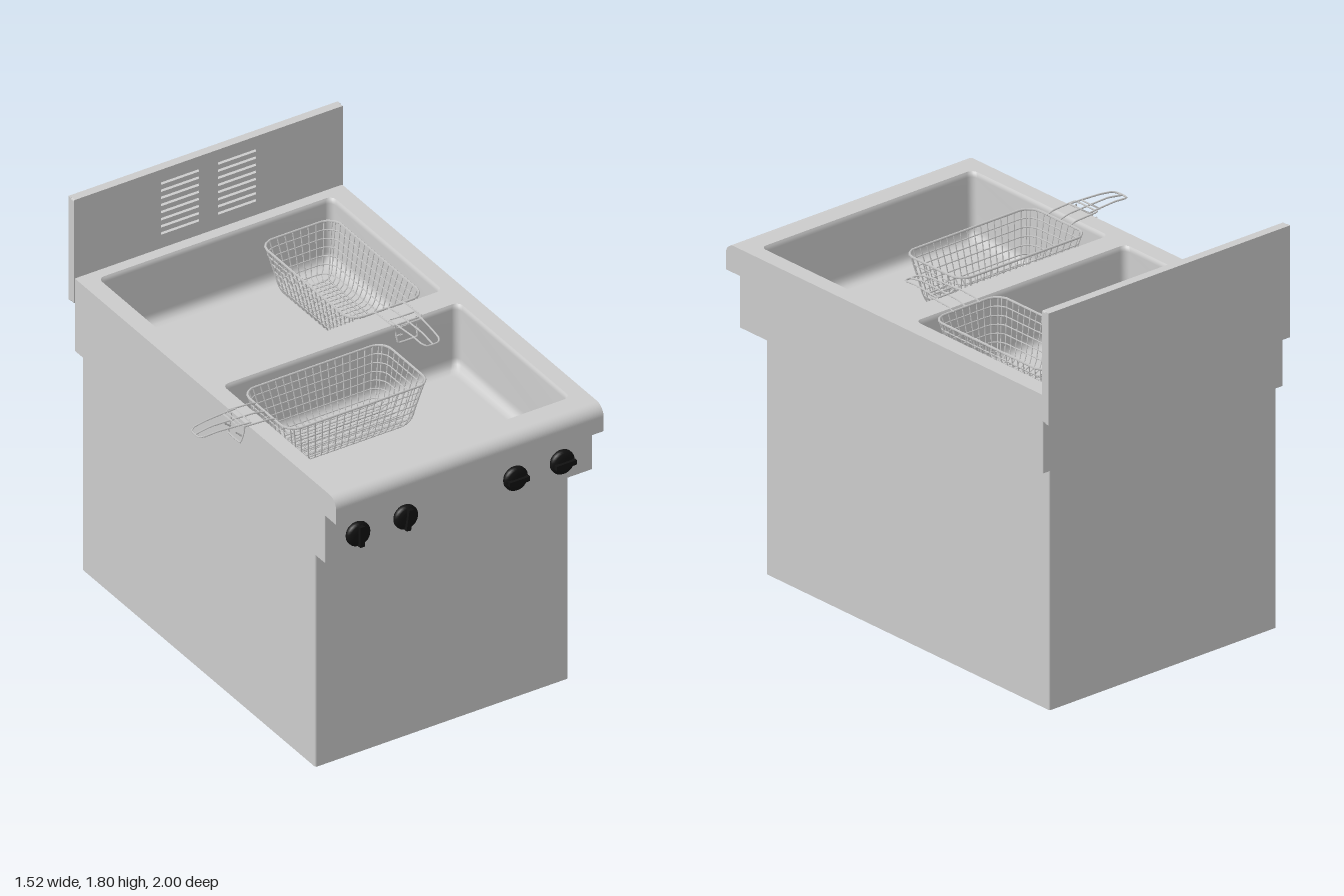
import * as THREE from 'three';
import { mergeGeometries } from 'three/addons/utils/BufferGeometryUtils.js';

const steel = new THREE.MeshStandardMaterial({ color: 0xcccccc });
const steelThin = new THREE.MeshStandardMaterial({ color: 0xcccccc, side: THREE.DoubleSide });
const black = new THREE.MeshStandardMaterial({ color: 0x111111 });
const V = (x, y, z) => new THREE.Vector3(x, y, z);

function add(parent, name, geometry, material = steel) {
  const mesh = new THREE.Mesh(geometry, material);
  mesh.name = name;
  parent.add(mesh);
  return mesh;
}

function box(x0, x1, y0, y1, z0, z1) {
  return new THREE.BoxGeometry(x1 - x0, y1 - y0, z1 - z0)
    .translate((x0 + x1) / 2, (y0 + y1) / 2, (z0 + z1) / 2);
}

// Counter-clockwise outline of a rounded rectangle
function outline(x0, x1, y0, y1, r, n = 5) {
  const pts = [];
  [[x1 - r, y1 - r], [x0 + r, y1 - r], [x0 + r, y0 + r], [x1 - r, y0 + r]].forEach(([cx, cy], q) => {
    for (let i = 0; i <= n; i++) {
      const a = (q + i / n) * Math.PI / 2;
      pts.push(new THREE.Vector2(cx + r * Math.cos(a), cy + r * Math.sin(a)));
    }
  });
  return pts;
}

// Plan outline (x, -z) raised from y0 to y1, with optional holes
function raise(points, holes, y0, y1) {
  const shape = new THREE.Shape(points);
  holes.forEach(h => shape.holes.push(new THREE.Path(h)));
  return new THREE.ExtrudeGeometry(shape, { depth: y1 - y0, bevelEnabled: false })
    .rotateX(-Math.PI / 2).translate(0, y0, 0);
}

// Open tub lofted downwards through rounded rectangles
function basinGeometry([x0, x1, z0, z1]) {
  const sections = [[0, 1.42], [0.004, 1.413], [0.01, 1.4], [0.014, 1.17], [0.02, 1.145], [0.035, 1.13], [0.055, 1.125], [0.065, 1.125]];
  const pos = [], idx = [];
  let n = 0;
  sections.forEach(([d, y]) => {
    const ring = outline(x0 + d, x1 - d, -z1 + d, -z0 - d, 0.03);
    n = ring.length;
    ring.forEach(p => pos.push(p.x, y, -p.y));
  });
  const centre = n * sections.length;
  pos.push((x0 + x1) / 2, 1.125, (z0 + z1) / 2);
  for (let i = 0; i < n; i++) {
    const j = (i + 1) % n;
    for (let s = 0; s < sections.length - 1; s++) {
      const a = s * n, b = a + n;
      idx.push(a + j, b + j, b + i, a + i, a + j, b + i);
    }
    idx.push(centre, centre - n + i, centre - n + j);
  }
  const g = new THREE.BufferGeometry();
  g.setAttribute('position', new THREE.Float32BufferAttribute(pos, 3));
  g.setIndex(idx);
  g.computeVertexNormals();
  return g;
}

function wire(points, r, segments, closed = false) {
  const curve = new THREE.CatmullRomCurve3(points, closed, 'catmullrom', 0.15);
  return new THREE.TubeGeometry(curve, segments, r, 4, closed);
}

// Wire basket: long axis x, handle towards -x, rim at y = 0
function makeBasket() {
  const g = new THREE.Group();
  const hx = 0.342, hz = 0.178, R = 0.06, thin = 0.0032;
  const walls = [[0, 0], [0.012, -0.05], [0.03, -0.13], [0.04, -0.18], [0.055, -0.208], [0.08, -0.22]];

  // Half length of the rounded plan at an offset across it
  const reach = (along, across, u) => {
    const e = Math.max(0, Math.abs(u) - (across - R));
    return along - R + Math.sqrt(Math.max(0, R * R - e * e));
  };
  const mesh = [];
  const cross = (along, across, count, place) => {
    for (let i = 0; i < count; i++) {
      const u = across * 0.95 * (-1 + 2 * i / (count - 1));
      const a = reach(along, across, u);
      const half = walls.map(([d, y]) => [a * (along - d) / along, y, u * (across - d) / across]);
      const pts = [
        ...half.map(([l, y, w]) => place(-l, y, w)),
        ...half.reverse().map(([l, y, w]) => place(l, y, w)),
      ];
      mesh.push(wire(pts, thin, 36));
    }
  };
  cross(hx, hz, 10, (l, y, w) => V(l, y, w));
  cross(hz, hx, 19, (l, y, w) => V(w, y, l));

  // Level rings of the wall
  const ring = (d, y, r) => wire(
    outline(-hx + d, hx - d, -hz + d, hz - d, R, 4).map(p => V(p.x, y, p.y)), r, 72, true);
  [[0.008, -0.035], [0.017, -0.07], [0.025, -0.105], [0.033, -0.14], [0.04, -0.175], [0.055, -0.208]]
    .forEach(([d, y]) => mesh.push(ring(d, y, thin)));
  add(g, 'basketMesh', mergeGeometries(mesh));
  add(g, 'basketRim', ring(0, 0, 0.006));

  // Handle: wide bracket, tapering grip loop, centre rib and hanging hook
  const t = 0.0045, h = [];
  h.push(wire([V(-0.335, 0, -0.07), V(-0.37, 0.012, -0.07), V(-0.48, 0.018, -0.07), V(-0.49, 0.018, -0.06),
    V(-0.49, 0.018, 0.06), V(-0.48, 0.018, 0.07), V(-0.37, 0.012, 0.07), V(-0.335, 0, 0.07)], t, 40));
  h.push(wire([V(-0.45, 0.02, -0.06), V(-0.51, 0.022, -0.055), V(-0.6, 0.022, -0.047), V(-0.66, 0.016, -0.042),
    V(-0.68, 0.011, -0.028), V(-0.682, 0.01, 0), V(-0.68, 0.011, 0.028), V(-0.66, 0.016, 0.042),
    V(-0.6, 0.022, 0.047), V(-0.51, 0.022, 0.055), V(-0.45, 0.02, 0.06)], t, 48));
  h.push(wire([V(-0.34, 0, 0), V(-0.4, 0.014, 0), V(-0.6, 0.022, 0), V(-0.682, 0.01, 0)], t, 20));
  [-0.45, -0.51].forEach(x => h.push(wire([V(x, 0.02, -0.06), V(x, 0.02, 0.06)], t, 2)));
  h.push(wire([V(-0.475, 0.016, -0.05), V(-0.477, -0.02, -0.05), V(-0.492, -0.07, -0.045), V(-0.492, -0.07, 0.045),
    V(-0.477, -0.02, 0.05), V(-0.475, 0.016, 0.05)], t, 36));
  [-1, 1].forEach(s => h.push(wire([V(-0.51, -0.02, s * 0.04), V(-0.48, -0.045, s * 0.048)], t, 2)));
  add(g, 'basketHandle', mergeGeometries(h));
  return g;
}

function makeKnob(angle) {
  const g = new THREE.Group();
  const profile = [[0, 0], [0.03, 0], [0.032, 0.012], [0.05, 0.016], [0.055, 0.024], [0.055, 0.038], [0.048, 0.048], [0.03, 0.053], [0, 0.054]];
  add(g, 'knobBody', new THREE.LatheGeometry(profile.map(p => new THREE.Vector2(...p)), 28).rotateX(Math.PI / 2), black);
  add(g, 'knobGrip', box(-0.011, 0.011, -0.048, 0.048, 0.03, 0.066), black);
  g.rotation.z = angle;
  return g;
}

export function createModel() {
  const model = new THREE.Group();
  model.name = 'deepFryer';

  // Cabinet with a recessed underside
  const foot = outline(-0.505, 0.715, -0.79, 0.96, 0.008, 3);
  const recess = outline(-0.365, 0.575, -0.65, 0.82, 0.005, 2);
  add(model, 'cabinetBase', raise(foot, [recess], 0, 0.05));
  add(model, 'cabinet', raise(foot, [], 0.05, 1.07));

  // Apron and worktop around the two basins
  const basins = [[-0.46, 0.67, -0.91, -0.08], [-0.465, 0.675, 0.03, 0.87]];
  const deck = outline(-0.54, 0.75, -0.915, 0.96, 0.004, 2);
  add(model, 'apronFloor', raise(deck, [], 1.07, 1.12));
  add(model, 'worktop', raise(deck, basins.map(([x0, x1, z0, z1]) => outline(x0, x1, -z1, -z0, 0.03)), 1.12, 1.42));
  basins.forEach((b, i) => add(model, i ? 'frontBasin' : 'rearBasin', basinGeometry(b), steelThin));

  // Rounded front lip: side profile swept across the width
  const lip = new THREE.Shape();
  lip.moveTo(0.912, 1.3);
  lip.lineTo(1, 1.3);
  lip.lineTo(1, 1.37);
  lip.absarc(0.95, 1.37, 0.05, 0, Math.PI / 2);
  lip.lineTo(0.912, 1.42);
  add(model, 'frontLip', new THREE.ExtrudeGeometry(lip, { depth: 1.29, bevelEnabled: false, curveSegments: 10 })
    .rotateY(-Math.PI / 2).scale(1, 1, 1).applyMatrix4(new THREE.Matrix4().makeRotationY(Math.PI))
    .applyMatrix4(new THREE.Matrix4().makeRotationY(Math.PI)).translate(0, 0, 0)
    .applyMatrix4(new THREE.Matrix4().makeTranslation(0.75, 0, 0)));

  // Splashback with two columns of vent slots
  const panel = new THREE.Shape(outline(-0.545, 0.755, 1.3, 1.8, 0.006, 2));
  [-0.125, 0.15].forEach(x => {
    for (let i = 0; i < 8; i++) {
      const y = 1.485 + i * 0.0345;
      panel.holes.push(new THREE.Path(outline(x, x + 0.185, y, y + 0.012, 0.003, 2)));
    }
  });
  add(model, 'splashbackFront', new THREE.ExtrudeGeometry(panel, { depth: 0.022, bevelEnabled: false }).translate(0, 0, -0.982));
  add(model, 'splashbackRear', box(-0.545, 0.755, 1.3, 1.8, -1, -0.982));

  // Control knobs
  [[-0.4, 0], [-0.17, -0.15], [0.36, Math.PI / 2], [0.585, Math.PI / 2]].forEach(([x, angle], i) => {
    const knob = makeKnob(angle);
    knob.name = 'knob' + (i + 1);
    knob.position.set(x, 1.18, 0.915);
    model.add(knob);
  });

  // Frying baskets
  const front = makeBasket();
  front.name = 'frontBasket';
  front.position.set(-0.078, 1.413, 0.283);
  const rear = makeBasket();
  rear.name = 'rearBasket';
  rear.position.set(0.415, 1.413, -0.44);
  rear.rotation.y = Math.PI / 2;
  model.add(front, rear);
  return model;
}
